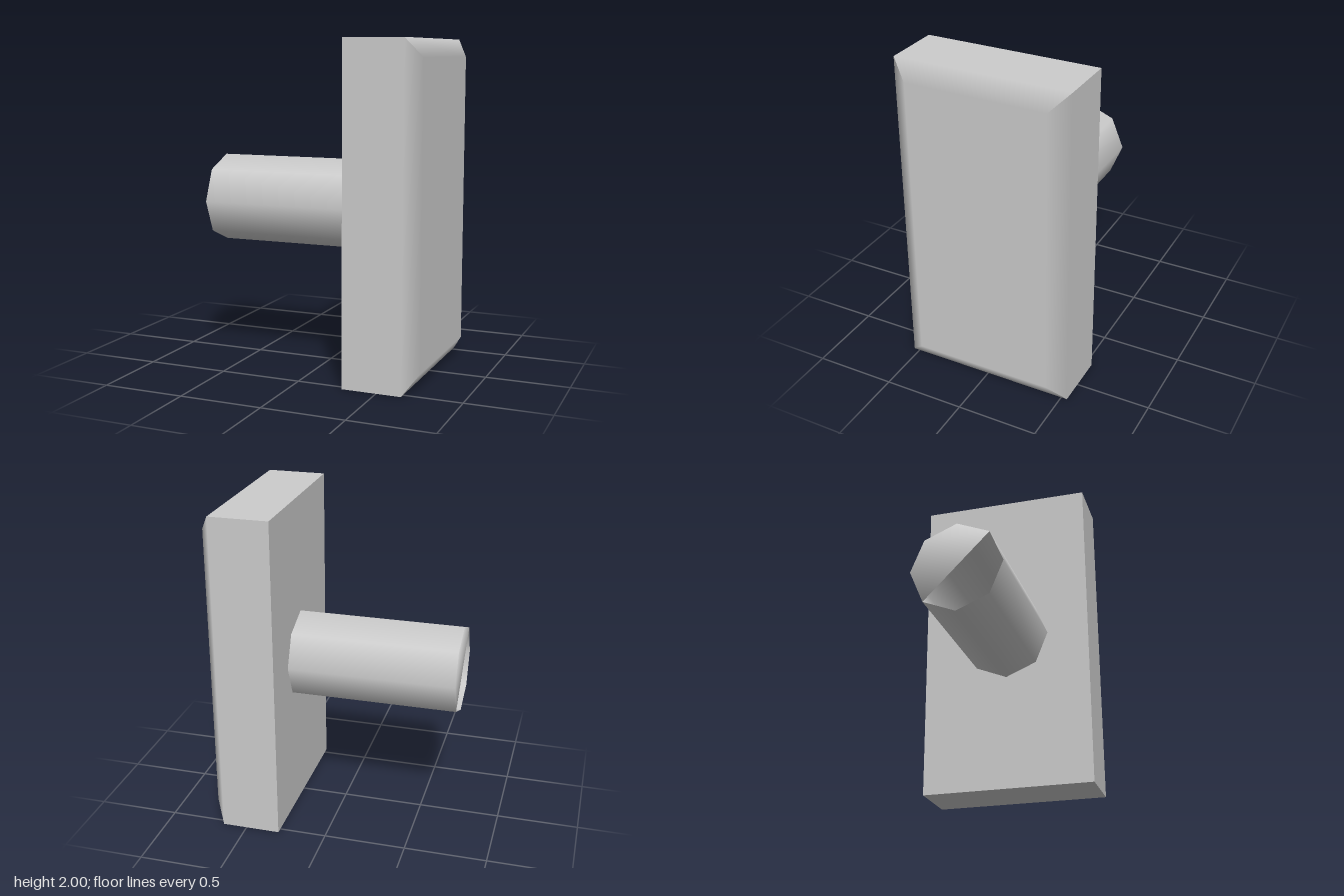
import * as THREE from 'three';

const material = new THREE.MeshStandardMaterial({ color: 0xcccccc, side: THREE.DoubleSide });

// Geometry from convex polygons, each a list of [point, normal] corners.
function fromPolygons(polygons) {
  const pos = [], nor = [];
  for (const poly of polygons) {
    for (let i = 1; i < poly.length - 1; i++) {
      for (const [p, n] of [poly[0], poly[i], poly[i + 1]]) {
        pos.push(...p);
        nor.push(...n);
      }
    }
  }
  const g = new THREE.BufferGeometry();
  g.setAttribute('position', new THREE.Float32BufferAttribute(pos, 3));
  g.setAttribute('normal', new THREE.Float32BufferAttribute(nor, 3));
  g.normalizeNormals();
  return g;
}

// Upright plate with a bevelled front rim, shaded softly across the bevel
function plateGeometry(back, rim, face, halfY, halfZ, inset) {
  const corners = [[1, -1], [1, 1], [-1, 1], [-1, -1]]; // signs of z, y
  const ring = (x, d) => corners.map(([z, y]) => [x, 1 + y * (halfY - d), z * (halfZ - d)]);
  const b = ring(back, 0), r = ring(rim, 0), f = ring(face, inset);
  const out = [[0, 0, 1], [0, 1, 0], [0, 0, -1], [0, -1, 0]];
  const front = [1, 0, 0];
  const polygons = [
    b.map(p => [p, [-1, 0, 0]]),
    [...f].reverse().map(p => [p, front]),
  ];
  for (let i = 0; i < 4; i++) {
    const j = (i + 1) % 4, n = out[i];
    polygons.push([[b[i], n], [r[i], n], [r[j], n], [b[j], n]]);
    polygons.push([[r[i], n], [f[i], front], [f[j], front], [r[j], n]]);
  }
  return fromPolygons(polygons);
}

export function createModel() {
  const group = new THREE.Group();
  const add = (name, geometry) => {
    const mesh = new THREE.Mesh(geometry, material);
    mesh.name = name;
    group.add(mesh);
  };

  add('plate', plateGeometry(0.29, 0.65, 0.725, 1, 0.538, 0.108));

  // Eight-sided smooth stem, open at both ends
  const radius = 0.275, end = -0.73, length = 1.02;
  const stem = new THREE.CylinderGeometry(radius, radius, length, 8, 1, true);
  stem.rotateZ(Math.PI / 2).translate(end + length / 2, 1, 0);
  add('stem', stem);

  // Half cap that closes the upper rear part of the stem's end
  const cap = [];
  for (let i = 1; i <= 5; i++) {
    const a = i * Math.PI / 4, y = Math.sin(a), z = Math.cos(a);
    cap.push([[end, 1 + radius * y, radius * z], [-1, y, z]]);
  }
  add('stemEndCap', fromPolygons([cap]));

  return group;
}
